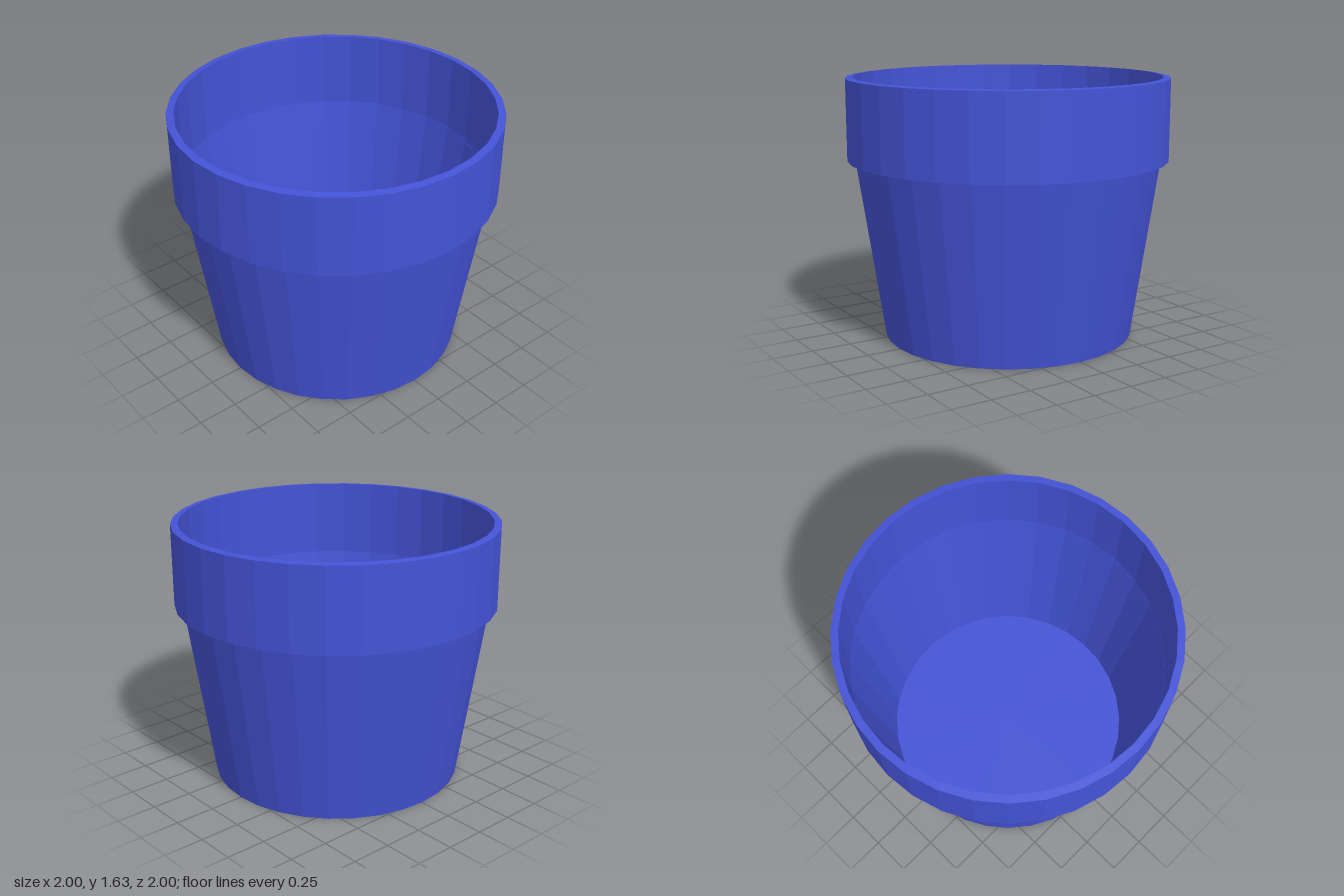
import * as THREE from 'three';

const SIDES = 32;
const material = new THREE.MeshStandardMaterial({ color: 0x4453d6, flatShading: true, side: THREE.DoubleSide });

// Revolve a [radius, height] profile around the y axis
function turned(name, profile) {
  const points = profile.map(([r, y]) => new THREE.Vector2(r, y));
  const mesh = new THREE.Mesh(new THREE.LatheGeometry(points, SIDES), material);
  mesh.name = name;
  return mesh;
}

export function createModel() {
  const group = new THREE.Group();
  group.name = 'flowerPot';

  // Thin tapered wall, closed by a flat base
  group.add(turned('body', [[0.785, 0], [0.955, 1.15]]));

  const base = new THREE.Mesh(new THREE.CircleGeometry(0.785, SIDES), material);
  base.name = 'base';
  base.rotation.x = Math.PI / 2;
  group.add(base);

  // Upright collar: underside, outer wall, rim and inner wall
  group.add(turned('collar', [[0.95, 1.12], [1, 1.12], [1, 1.625], [0.955, 1.63], [0.955, 1.15]]));

  return group;
}
